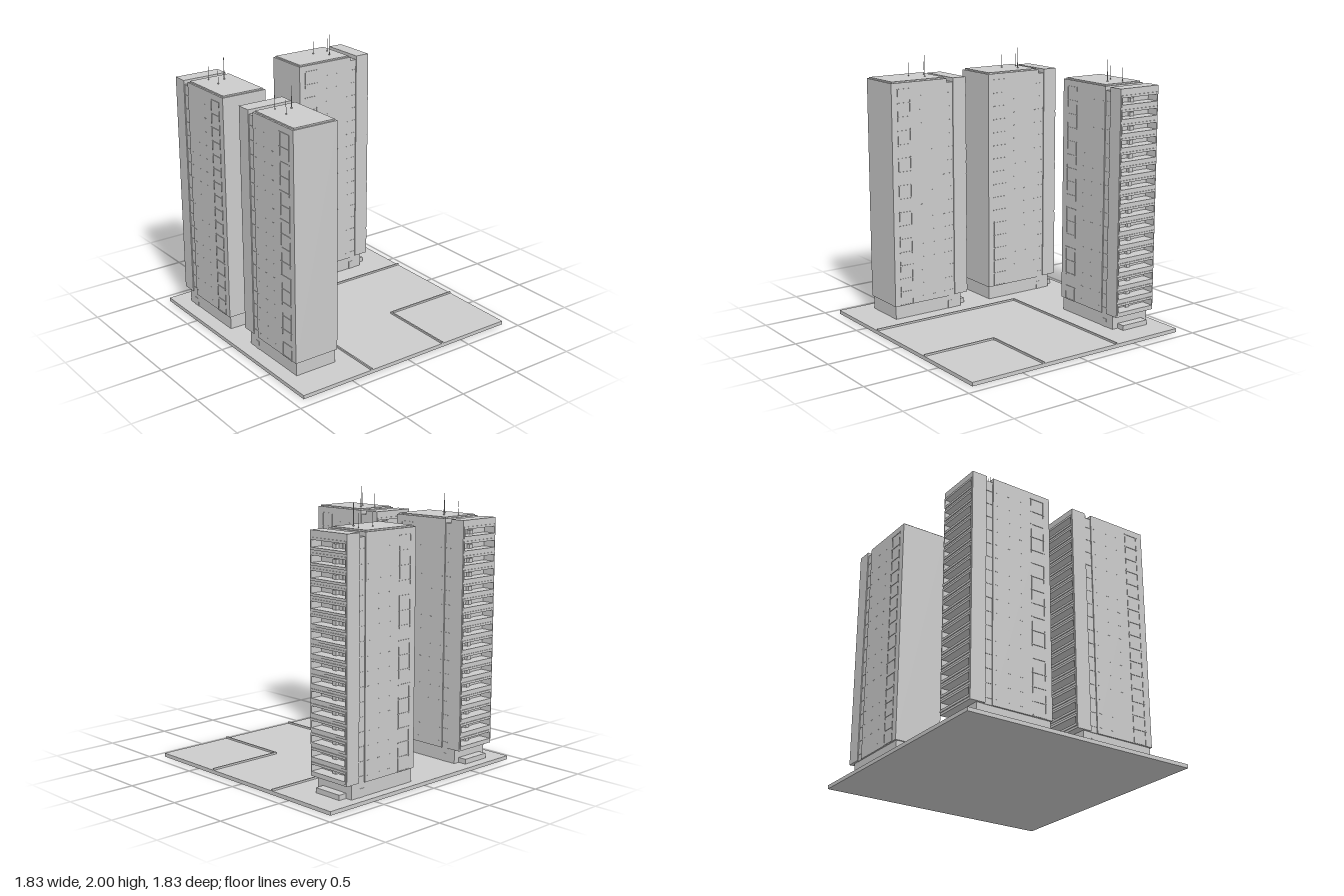
import * as THREE from 'three';

const FLOORS = 16, PITCH = 0.103;
const mat = new THREE.MeshStandardMaterial({ color: 0xcccccc, flatShading: true });

// Box given by its min and max corners
function box(parent, name, x0, x1, y0, y1, z0, z1) {
  const m = new THREE.Mesh(new THREE.BoxGeometry(x1 - x0, y1 - y0, z1 - z0), mat);
  m.position.set((x0 + x1) / 2, (y0 + y1) / 2, (z0 + z1) / 2);
  m.name = name;
  parent.add(m);
  return m;
}

function rect(path, x0, x1, y0, y1) {
  path.moveTo(x0, y0);
  path.lineTo(x1, y0);
  path.lineTo(x1, y1);
  path.lineTo(x0, y1);
  path.closePath();
  return path;
}

// Upright panel facing +x with rectangular openings, from x0 to x1
function panel(parent, name, x0, x1, outline, openings) {
  const shape = rect(new THREE.Shape(), ...outline);
  openings.forEach((o) => shape.holes.push(rect(new THREE.Path(), ...o)));
  const geo = new THREE.ExtrudeGeometry(shape, { depth: x1 - x0, bevelEnabled: false });
  geo.rotateY(Math.PI / 2);
  const m = new THREE.Mesh(geo, mat);
  m.position.x = x0;
  m.name = name;
  parent.add(m);
}

function antenna(parent, x, z, top, r) {
  const g = new THREE.Group();
  g.name = 'antenna';
  const h = top - 1.838;
  const mast = new THREE.Mesh(new THREE.CylinderGeometry(r * 0.7, r, h, 8), mat);
  mast.position.y = h / 2;
  const foot = new THREE.Mesh(new THREE.CylinderGeometry(r * 2.2, r * 2.2, 0.01, 8), mat);
  foot.position.y = 0.005;
  mast.name = 'antennaMast';
  foot.name = 'antennaFoot';
  g.add(mast, foot);
  g.position.set(x, 1.838, z);
  parent.add(g);
}

// Window strip, sills and service door on one long side (s = +1 or -1)
function longSide(parent, s) {
  const side = new THREE.Group();
  side.name = s > 0 ? 'frontFacade' : 'backFacade';
  const on = (name, x0, x1, y0, y1, face, out) => {
    const a = s * (face - 0.004), b = s * (face + out);
    box(side, name, x0, x1, y0, y1, Math.min(a, b), Math.max(a, b));
  };
  for (const x of [0.053, 0.157]) on('stripJamb', x - 0.003, x + 0.003, 0.13, 1.78, 0.177, 0.003);
  for (let i = 0; i <= FLOORS; i++) {
    const y = 0.131 + i * PITCH;
    on('stripLedge', 0.047, 0.164, y, y + 0.006, 0.177, 0.004);
  }
  for (let i = 0; i < FLOORS; i++) {
    const y = 0.175 + i * PITCH;
    for (const x of [0.24, 0.34, 0.44]) on('windowSill', x, x + 0.018, y, y + 0.004, 0.177, 0.0015);
    on('neckSill', 0.482, 0.53, y, y + 0.004, 0.17, 0.003);
  }
  on('serviceDoor', 0.48, 0.525, 0.028, 0.09, 0.165, 0.003);
  parent.add(side);
}

// Tower runs along +x from its plain end (x = 0) to its balcony end
function tower(name, x, z, turn) {
  const t = new THREE.Group();
  t.name = name;
  box(t, 'plinth', 0.01, 0.595, 0.025, 0.132, -0.165, 0.165);
  box(t, 'mainBlock', 0, 0.48, 0.13, 1.83, -0.177, 0.177);
  box(t, 'roofSlab', 0.013, 0.467, 1.828, 1.84, -0.164, 0.164);
  box(t, 'neck', 0.475, 0.54, 0.13, 1.8, -0.17, 0.17);
  box(t, 'entranceStep', 0.59, 0.66, 0.025, 0.065, -0.115, 0.115);
  longSide(t, 1);
  longSide(t, -1);

  // Balcony block: rear wall, open frame, raised surround on every floor
  const balconies = new THREE.Group();
  balconies.name = 'balconies';
  box(balconies, 'rearWall', 0.535, 0.56, 0.135, 1.83, -0.177, 0.177);
  const openings = [];
  for (let i = 0; i < FLOORS; i++) {
    const y = 0.17 + i * PITCH;
    const opening = [-0.163, 0.163, y, y + 0.05];
    openings.push(opening);
    panel(balconies, 'balconySurround', 0.65, 0.656, [-0.171, 0.171, y - 0.018, y + 0.067], [opening]);
    box(balconies, 'coolerUnit', 0.56, 0.585, y, y + 0.03, -0.005, 0.03);
    box(balconies, 'balconyDoor', 0.56, 0.565, y, y + 0.045, -0.045, -0.02);
  }
  panel(balconies, 'balconyFrame', 0.56, 0.65, [-0.177, 0.177, 0.135, 1.83], openings);
  t.add(balconies);

  antenna(t, 0.28, -0.04, 1.94, 0.002);
  antenna(t, 0.413, -0.04, 1.94, 0.002);
  antenna(t, 0.362, 0.06, 2.0, 0.003);
  t.position.set(x, 0, z);
  t.rotation.y = turn;
  return t;
}

// L-shaped kerb with its corner at (x, z), running to the site edges
function kerb(parent, x, z) {
  box(parent, 'kerbAlongX', x, 0.915, 0.025, 0.042, z, z + 0.011);
  box(parent, 'kerbAlongZ', x, x + 0.011, 0.025, 0.042, z + 0.011, 0.915);
}

export function createModel() {
  const model = new THREE.Group();
  model.name = 'towerBlocks';
  box(model, 'groundSlab', -0.915, 0.915, 0, 0.028, -0.915, 0.915);
  kerb(model, -0.338, -0.337);
  kerb(model, 0.313, 0.317);
  model.add(
    tower('rearLeftTower', -0.6375, -0.18, Math.PI / 2),
    tower('frontLeftTower', -0.6375, 0.68, Math.PI / 2),
    tower('rearRightTower', 0.06, -0.68, 0),
  );
  return model;
}
